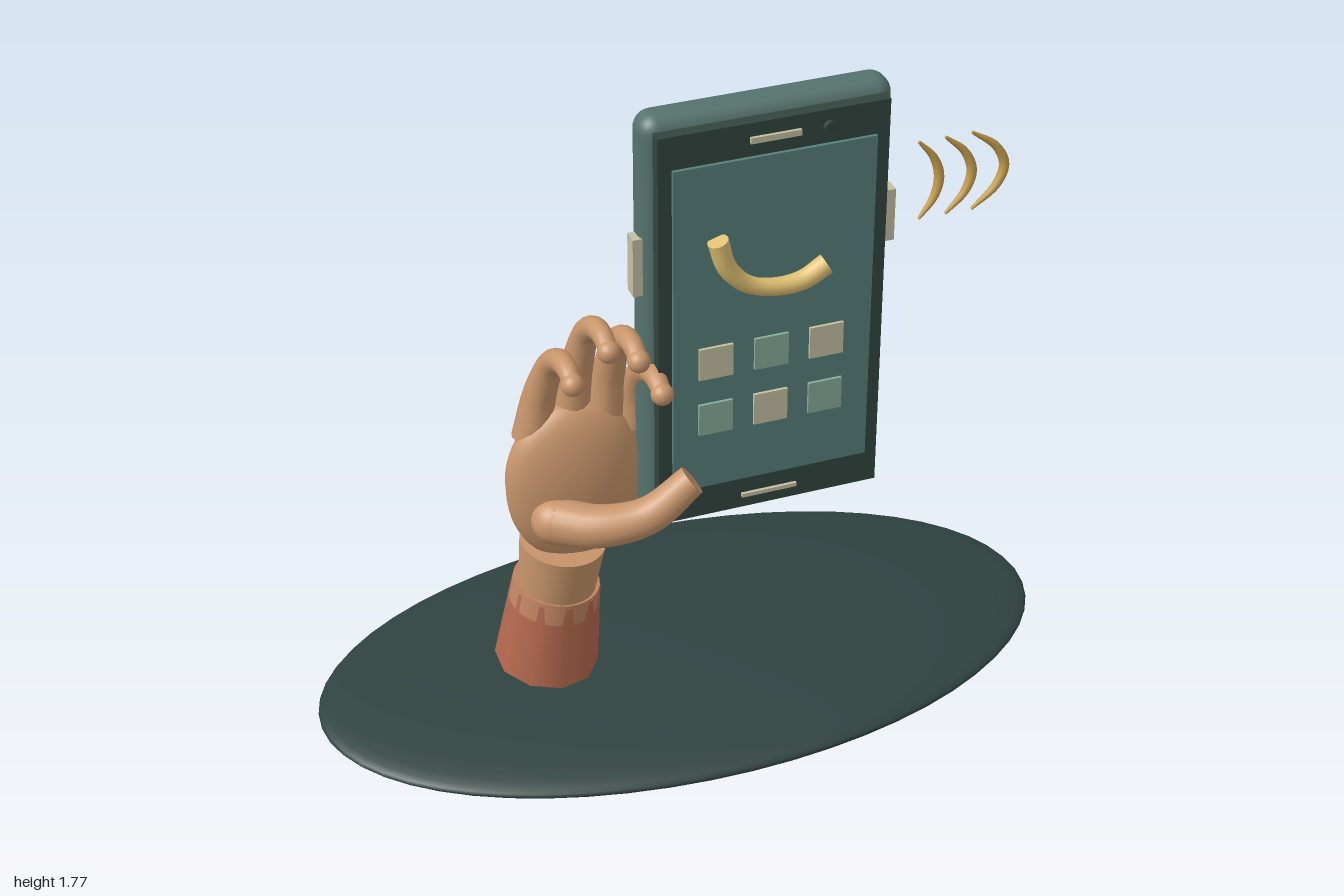
import * as THREE from 'three';
import { RoundedBoxGeometry } from 'three/addons/geometries/RoundedBoxGeometry.js';

const mat = (color, side = THREE.FrontSide) => new THREE.MeshStandardMaterial({ color, side });
const V = (p) => new THREE.Vector3(...p);

const SKIN = mat(0xc8966c);
const BODY = mat(0x56736d);
const BEZEL = mat(0x33443f);
const SCREEN = mat(0x578079);
const BEIGE = mat(0xc4bfa4);
const GREEN = mat(0x86ab98);
const GOLD = mat(0xdfc073);
const WAVE = mat(0xc39c4c);
const BASE = mat(0x2f4341);
const SLEEVE = mat(0xb5694e, THREE.DoubleSide);
const TRIM = mat(0xc28564, THREE.DoubleSide);

function add(parent, name, geometry, material, pos = [0, 0, 0]) {
  const m = new THREE.Mesh(geometry, material);
  m.name = name;
  m.position.set(...pos);
  parent.add(m);
  return m;
}

const box = (parent, name, size, pos, material) =>
  add(parent, name, new THREE.BoxGeometry(...size), material, pos);

// Cylinder running from point a to point b
function limb(parent, name, a, b, ra, rb, sides, material, open = false) {
  const d = V(b).sub(V(a));
  const m = add(parent, name, new THREE.CylinderGeometry(rb, ra, d.length(), sides, 1, open), material);
  m.position.copy(V(a)).addScaledVector(d, 0.5);
  m.quaternion.setFromUnitVectors(new THREE.Vector3(0, 1, 0), d.normalize());
  return m;
}

// Tube along points whose radius follows radius(t), with flat end caps
function taperedTube(parent, name, points, radius, material, segs = 24, sides = 16) {
  const g = new THREE.Group();
  g.name = name;
  parent.add(g);
  const curve = new THREE.CatmullRomCurve3(points.map(V));
  const geo = new THREE.TubeGeometry(curve, segs, 1, sides);
  const p = geo.attributes.position;
  const v = new THREE.Vector3();
  for (let i = 0; i < p.count; i++) {
    const t = Math.floor(i / (sides + 1)) / segs;
    const c = curve.getPointAt(t);
    v.fromBufferAttribute(p, i).sub(c).multiplyScalar(radius(t)).add(c);
    p.setXYZ(i, v.x, v.y, v.z);
  }
  add(g, name + 'Tube', geo, material);
  for (const t of [0, 1]) {
    const cap = add(g, name + 'Cap', new THREE.CircleGeometry(radius(t), sides), material);
    cap.position.copy(curve.getPointAt(t));
    const dir = curve.getTangentAt(t).multiplyScalar(t ? 1 : -1);
    cap.quaternion.setFromUnitVectors(new THREE.Vector3(0, 0, 1), dir);
  }
  return g;
}

function buildPhone() {
  const phone = new THREE.Group();
  phone.name = 'phone';
  const cx = 0.175;
  add(phone, 'phoneBody', new RoundedBoxGeometry(0.65, 1.17, 0.105, 5, 0.045), BODY, [cx, 1.185, 0.092]);
  box(phone, 'bezel', [0.595, 1.115, 0.035], [cx, 1.182, 0.158], BEZEL);
  box(phone, 'screen', [0.525, 0.93, 0.012], [cx, 1.185, 0.179], SCREEN);
  box(phone, 'earpiece', [0.13, 0.016, 0.012], [cx, 1.695, 0.178], BEIGE);
  box(phone, 'bottomBar', [0.15, 0.011, 0.012], [cx, 0.664, 0.178], BEIGE);
  const lens = add(phone, 'cameraLens', new THREE.CylinderGeometry(0.016, 0.016, 0.018, 20), BASE, [0.313, 1.695, 0.181]);
  lens.rotation.x = Math.PI / 2;
  box(phone, 'leftButton', [0.025, 0.145, 0.04], [0.508, 1.38, 0.103], BEIGE);
  box(phone, 'rightButton', [0.025, 0.16, 0.04], [-0.156, 1.365, 0.103], BEIGE);

  // Grid of icons in alternating colours
  for (let r = 0; r < 2; r++) {
    for (let c = 0; c < 3; c++) {
      box(phone, 'icon', [0.09, 0.09, 0.012], [0.023 + c * 0.147, 1.095 - r * 0.165, 0.187],
        (r + c) % 2 ? GREEN : BEIGE);
    }
  }

  // Curved handset on the screen
  taperedTube(phone, 'handset', [
    [0.02, 1.45, 0.203], [0.045, 1.37, 0.203], [0.1, 1.312, 0.203],
    [0.175, 1.29, 0.203], [0.245, 1.295, 0.203], [0.305, 1.328, 0.203],
  ], (t) => 0.022 + 0.005 * Math.abs(2 * t - 1), GOLD, 32);
  return phone;
}

function buildHand() {
  const hand = new THREE.Group();
  hand.name = 'hand';

  // Palm, squared off a little towards the knuckles
  const palmGeo = new THREE.SphereGeometry(1, 40, 28);
  const p = palmGeo.attributes.position;
  for (let i = 0; i < p.count; i++) {
    const y = p.getY(i);
    const widen = 1 + 0.12 * Math.max(0, y);
    p.setXYZ(i, p.getX(i) * 0.18 * widen, y * 0.235, p.getZ(i) * 0.085);
  }
  palmGeo.computeVertexNormals();
  add(hand, 'palm', palmGeo, SKIN, [-0.308, 0.728, 0.052]);

  // Fingers: [base x, base y, tip x, tip y]
  const fingers = [
    [-0.41, 0.87, -0.355, 1.125],
    [-0.312, 0.89, -0.262, 1.2],
    [-0.22, 0.89, -0.185, 1.155],
    [-0.145, 0.86, -0.125, 1.045],
  ];
  for (const [bx, by, tx, ty] of fingers) {
    const at = (k, y, z) => [bx + (tx - bx) * k, y, z];
    taperedTube(hand, 'finger', [
      at(0, by, 0.03), at(0.45, by + (ty - by) * 0.5, 0.03), at(0.85, ty - 0.03, 0.06),
      at(0.97, ty + 0.012, 0.115), at(1, ty + 0.018, 0.165), at(1, ty, 0.208),
    ], (t) => 0.052 - 0.029 * t, SKIN, 28);
    add(hand, 'fingertip', new THREE.SphereGeometry(0.029, 18, 14), SKIN, [tx, ty, 0.208]);
  }

  // Thumb reaching over the phone's front
  const thumb = [[-0.385, 0.672, 0.13], [-0.29, 0.675, 0.195], [-0.17, 0.7, 0.226], [-0.055, 0.785, 0.232]];
  taperedTube(hand, 'thumb', thumb, (t) => 0.062 - 0.021 * t, SKIN, 28, 20);
  add(hand, 'thumbBase', new THREE.SphereGeometry(0.062, 24, 16), SKIN, thumb[0]);

  limb(hand, 'wrist', [-0.355, 0.37, 0.02], [-0.338, 0.54, 0.038], 0.1, 0.113, 32, SKIN);
  return hand;
}

export function createModel() {
  const model = new THREE.Group();
  model.name = 'handHoldingPhone';

  // Flat oval base
  const base = add(model, 'base', new THREE.SphereGeometry(1, 56, 28), BASE, [0, 0.0625, 0]);
  base.scale.set(1, 0.0625, 0.54);

  model.add(buildPhone(), buildHand());

  // Faceted sleeve with a round trim breaking through its flats
  limb(model, 'sleeve', [-0.38, 0.137, -0.003], [-0.353, 0.388, 0.015], 0.138, 0.117, 10, SLEEVE);
  limb(model, 'sleeveTrim', [-0.36, 0.335, 0.011], [-0.352, 0.398, 0.016], 0.118, 0.1145, 32, TRIM);

  // Three sound waves growing outwards
  for (let i = 0; i < 3; i++) {
    const x = 0.587 + i * 0.072;
    const bulge = 0.055 + i * 0.017;
    taperedTube(model, 'soundWave', [
      [x, 1.56, 0.1], [x + bulge * 0.75, 1.51, 0.104], [x + bulge, 1.457, 0.11],
      [x + bulge * 0.75, 1.405, 0.115], [x, 1.352, 0.12],
    ], (t) => 0.004 + 0.009 * Math.sin(Math.PI * t), WAVE, 24, 10);
  }
  return model;
}
